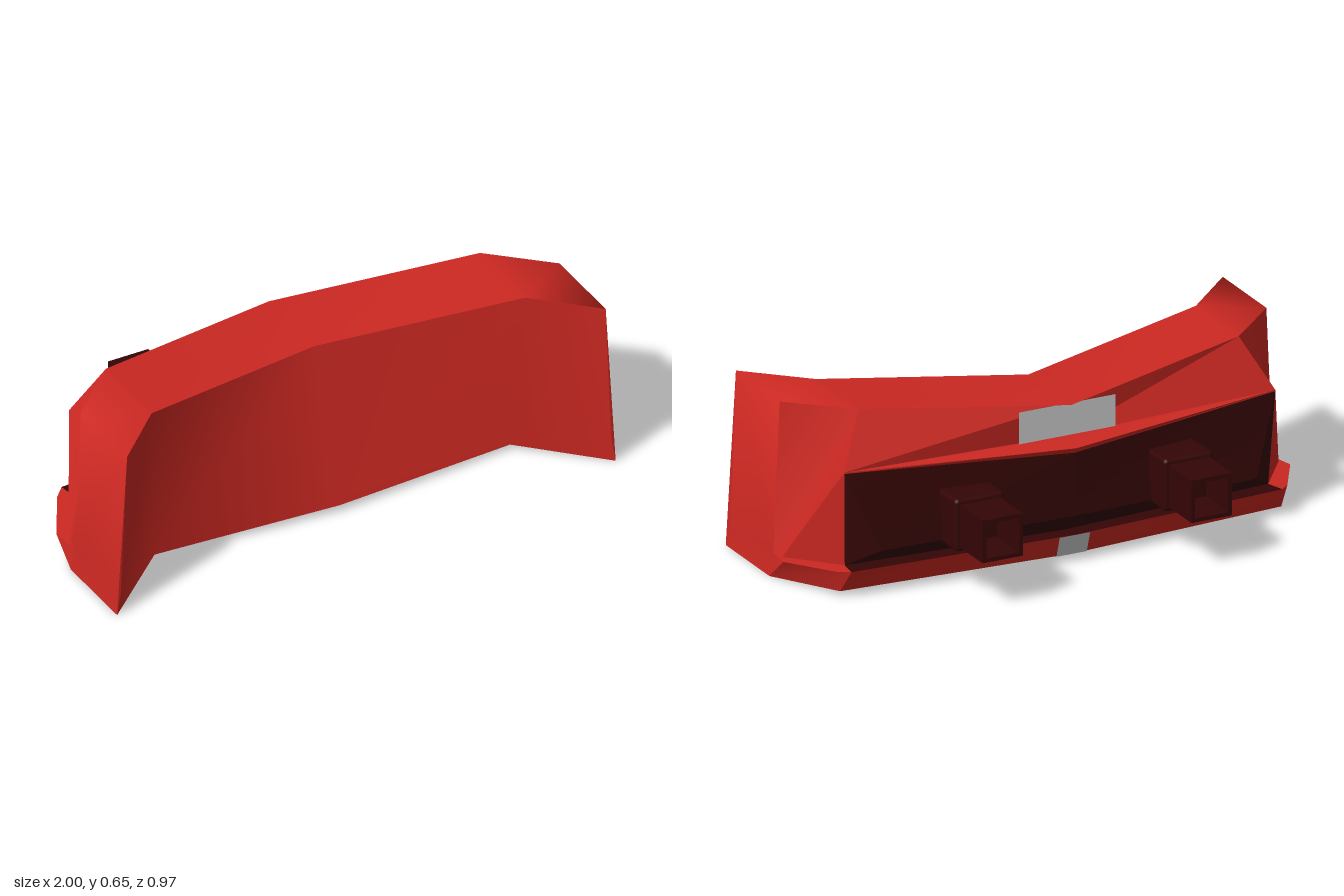
import * as THREE from 'three';
import { toCreasedNormals } from 'three/addons/utils/BufferGeometryUtils.js';
import { RoundedBoxGeometry } from 'three/addons/geometries/RoundedBoxGeometry.js';

const material = (color) => new THREE.MeshStandardMaterial({ color, side: THREE.DoubleSide });
const red = material(0xcc2822), dark = material(0x340505), grey = material(0xcccccc);

// Mesh from a list of triangles, each three [x, y, z] corners
function surface(name, triangles, mat, crease = 0.3) {
  const solid = triangles.filter(([a, b, c]) => {
    const t = new THREE.Triangle(new THREE.Vector3(...a), new THREE.Vector3(...b), new THREE.Vector3(...c));
    return t.getArea() > 1e-6;
  });
  const geo = new THREE.BufferGeometry();
  geo.setAttribute('position', new THREE.Float32BufferAttribute(solid.flat(2), 3));
  const mesh = new THREE.Mesh(toCreasedNormals(geo, crease), mat);
  mesh.name = name;
  return mesh;
}

const flip = ([x, y, z]) => [-x, y, z];

// Extends a row from the centre line outwards to both sides
const bothSides = (row) => [...row.slice(1).reverse().map(flip), ...row];

// Skin across rows that start on the centre line
function skin(rows) {
  const full = rows.map(bothSides), out = [];
  for (let r = 0; r < full.length - 1; r++) {
    const a = full[r], b = full[r + 1];
    for (let i = 0; i < a.length - 1; i++) {
      out.push([a[i], b[i], a[i + 1]], [b[i], b[i + 1], a[i + 1]]);
    }
  }
  return out;
}

// Polygon fans on both sides
function fans(...polys) {
  const out = [];
  for (const p of polys) {
    for (let i = 1; i < p.length - 1; i++) {
      const t = [p[0], p[i], p[i + 1]];
      out.push(t, t.map(flip).reverse());
    }
  }
  return out;
}

// Flat plate facing the back, half width w
const plate = (w, [y0, z0], [y1, z1]) => [
  [[w, y0, z0], [-w, y0, z0], [-w, y1, z1]],
  [[w, y0, z0], [-w, y1, z1], [w, y1, z1]],
];

export function createModel() {
  const group = new THREE.Group();
  group.name = 'bumper';

  // Key edges, centre line outwards
  const frontTop = [[0, 0.59, 0.113], [0.75, 0.65, 0.285], [0.96, 0.65, 0.485]];
  const frontBottom = [[0, 0.03, 0.298], [0.713, 0.02, 0.241], [1, 0, 0.485]];
  const backTop = [[0, 0.59, -0.213], [0.75, 0.65, -0.04], [0.96, 0.65, 0.154]];
  const wallTop = [[0, 0.585, -0.18], [0.75, 0.65, -0.04]];
  const corner = [0.85, 0.46, -0.125];
  const wallBottom = [[0, 0.46, -0.17], corner];
  const cornerLow = [0.835, 0.1, -0.1];
  const flankLow = [0.98, 0.085, 0.1];
  const sideFront = [0.985, 0.085, 0.485];
  const lipTop = [[0, 0.11, -0.238], [0.85, 0.105, -0.18], [0.89, 0.1, -0.14], [1, 0.09, 0.05], [0.985, 0.085, 0.154]];
  const lipCorner = [0.87, 0.02, -0.132], lipEnd = [1, 0, 0.154];
  const lipBottom = [[0, 0.03, -0.213], lipCorner, lipCorner, lipEnd, lipEnd];
  const panelTop = [[0, 0.42, -0.24], [0.85, 0.455, -0.125]];
  const panelLow = [[0, 0.18, -0.235], [0.74, 0.17, -0.195]];
  const panelBottom = [[0, 0.1, -0.155], cornerLow];

  // Outer shell; the sides blend into the top ends and the underside
  const [fc, fk, fe] = frontBottom;
  group.add(surface('frontFace', [
    ...skin([frontTop, frontBottom]),
    ...fans([frontTop[2], fe, sideFront]),
  ], red, 0.9));
  group.add(surface('topPlate', skin([backTop.slice(0, 2), frontTop.slice(0, 2)]), red));
  group.add(surface('bottomAndSides', [
    ...skin([[fc, fk, fk, fe, fe], lipBottom]),
    ...fans(
      [frontTop[2], sideFront, lipTop[4], backTop[2]],
      [sideFront, fe, lipEnd, lipTop[4]],
      [frontTop[1], frontTop[2], backTop[2], backTop[1]],
    ),
  ], red, 1.7));
  group.add(surface('rearFlanks', fans([backTop[1], backTop[2], lipTop[4], flankLow, corner]), red, 0.9));
  group.add(surface('lowerFlanks', fans([corner, flankLow, cornerLow]), red));

  // Rear wall under the overhang, with a flat grey centre plate
  group.add(surface('overhang', skin([wallTop, backTop.slice(0, 2)]), red));
  group.add(surface('rearWall', skin([wallBottom, wallTop]), red));
  group.add(surface('upperCentrePlate', plate(0.19, [0.465, -0.181], [0.585, -0.181]), grey));

  // Narrow hood above the recess
  group.add(surface('hood', skin([
    panelTop, [[0, 0.44, -0.25], corner], [[0, 0.46, -0.2], corner], wallBottom,
  ]), red));

  // Dark rear panel with angled ends, and the floor below it
  group.add(surface('rearPanel', [
    ...skin([panelBottom, panelLow, panelTop]),
    ...fans([panelTop[1], cornerLow, panelLow[1]]),
  ], dark));
  group.add(surface('recessFloor', skin([lipTop.slice(0, 2), panelBottom]), dark));

  // Lower lip with a flat grey centre plate
  group.add(surface('lowerLip', skin([lipBottom, lipTop]), red, 0.6));
  group.add(surface('lowerCentrePlate', plate(0.06, [0.03, -0.215], [0.11, -0.24]), grey));
  group.add(surface('lipLedge', fans(
    [cornerLow, flankLow, lipTop[4], lipTop[3], lipTop[2], lipTop[1]],
  ), red));

  // Mounting arms: collar and hollow square tube
  const square = (s, Type) => new Type([[-s, -s], [s, -s], [s, s], [-s, s]].map(([x, y]) => new THREE.Vector2(x, y)));
  const tubeShape = square(0.08, THREE.Shape);
  tubeShape.holes.push(square(0.065, THREE.Path));
  const tubeGeo = new THREE.ExtrudeGeometry(tubeShape, { depth: 0.185, bevelEnabled: false });
  const collarGeo = new RoundedBoxGeometry(0.195, 0.197, 0.175, 2, 0.015);
  for (const side of [-1, 1]) {
    const arm = new THREE.Group();
    arm.name = side > 0 ? 'leftMountingArm' : 'rightMountingArm';
    const collar = new THREE.Mesh(collarGeo, dark);
    collar.name = 'collar';
    collar.position.set(0, 0.26, -0.2275);
    const tube = new THREE.Mesh(tubeGeo, dark);
    tube.name = 'tube';
    tube.position.set(0, 0.26, -0.485);
    arm.add(collar, tube);
    arm.position.x = side * 0.412;
    group.add(arm);
  }
  return group;
}
